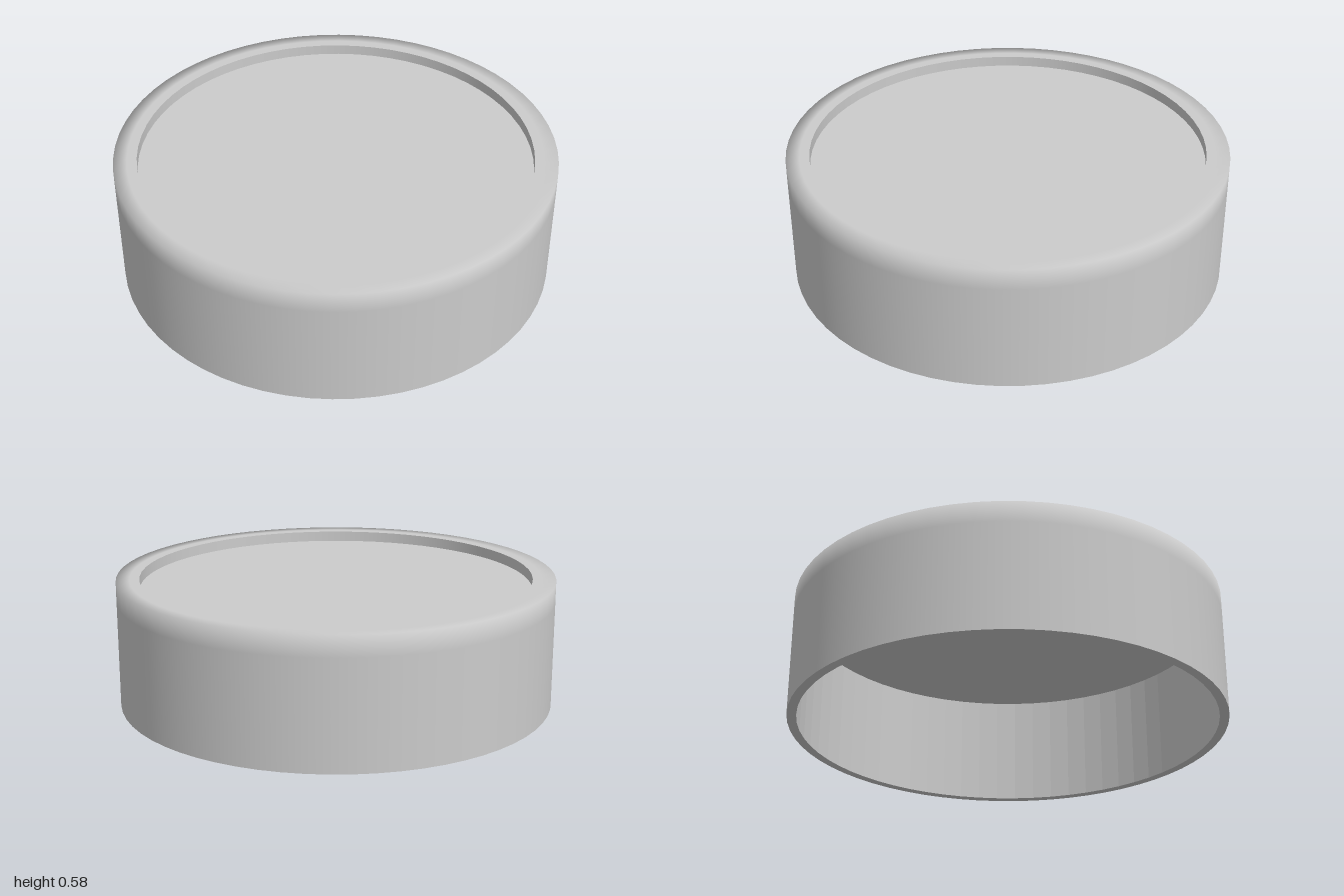
import * as THREE from 'three';

const SEGMENTS = 64;
const HEIGHT = 0.585, OUTER = 1, INNER = 0.957, OPENING = 0.895;
const PANEL_TOP = 0.536, PANEL_BOTTOM = 0.534;

// Revolves an [radius, y] profile; the face is on the right of the path direction.
function revolve(name, profile, flatShading = false) {
  const points = profile.map(([r, y]) => new THREE.Vector2(r, y));
  const material = new THREE.MeshStandardMaterial({ color: 0xcccccc, flatShading });
  const mesh = new THREE.Mesh(new THREE.LatheGeometry(points, SEGMENTS), material);
  mesh.name = name;
  return mesh;
}

export function createModel() {
  const lid = new THREE.Group();
  lid.name = 'lid';

  lid.add(
    // Outer wall running softly shaded over the shoulder onto the rim
    revolve('outerWall', [[OUTER, 0], [OUTER, 0.25], [OUTER, 0.49], [OUTER, HEIGHT], [0.94, HEIGHT], [OPENING, HEIGHT]]),
    // Short drop from the rim down to the recessed panel
    revolve('rimInnerEdge', [[OPENING, HEIGHT], [OPENING, PANEL_TOP]]),
    // Recessed panel, top and underside
    revolve('panelTop', [[OPENING, PANEL_TOP], [0, PANEL_TOP]]),
    revolve('panelUnderside', [[0, PANEL_BOTTOM], [INNER, PANEL_BOTTOM]]),
    // Faceted inside of the skirt
    revolve('innerWall', [[INNER, PANEL_BOTTOM], [INNER, 0]], true),
    // Thin ring the lid stands on
    revolve('bottomEdge', [[INNER, 0], [OUTER, 0]])
  );
  return lid;
}
